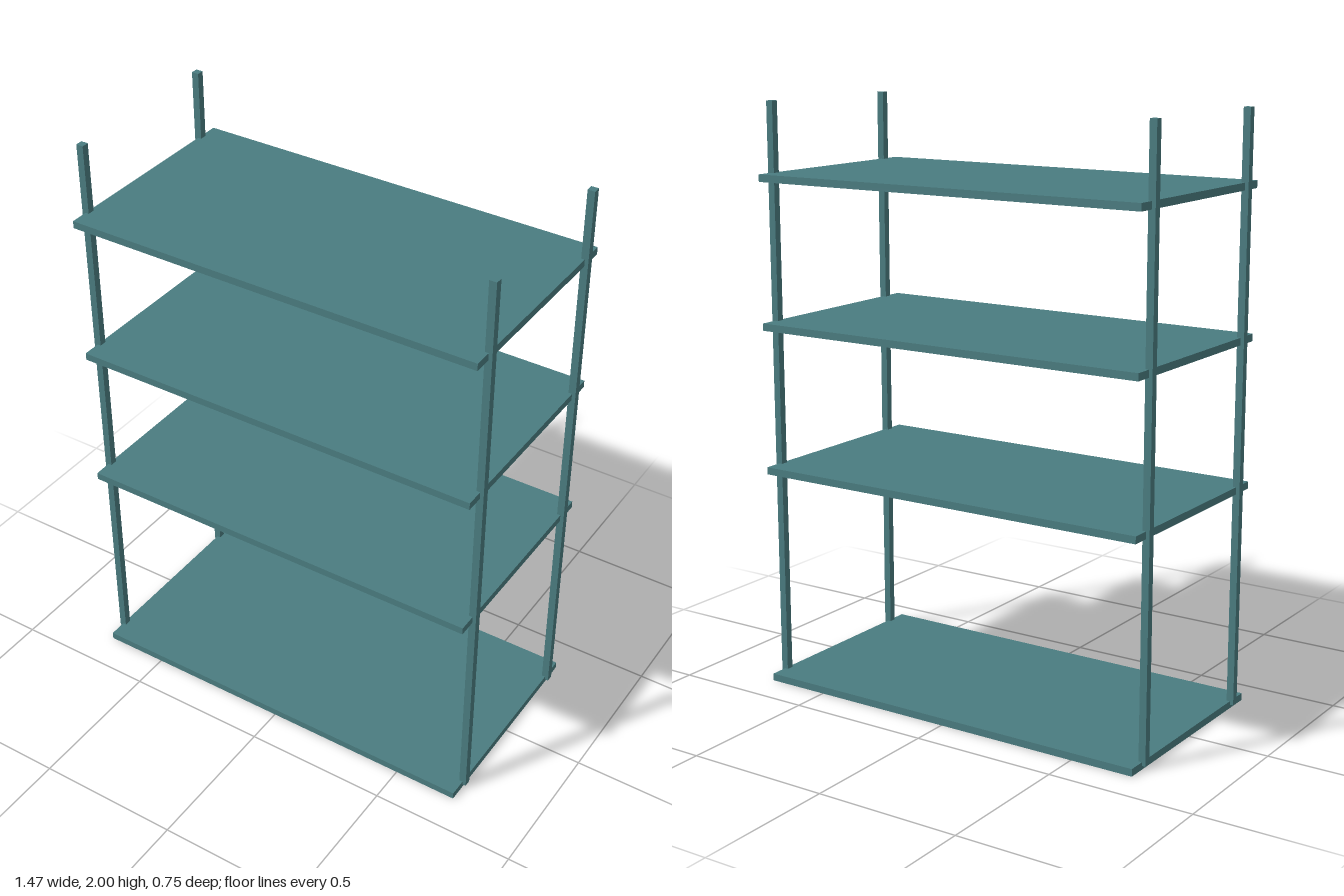
import * as THREE from 'three';

const U = 2 / 161; // one design unit; overall height is 161 units

export function createModel() {
  const group = new THREE.Group();
  const material = new THREE.MeshStandardMaterial({ color: 0x4a7c80 });

  const addBox = (name, size, position) => {
    const mesh = new THREE.Mesh(new THREE.BoxGeometry(...size.map(v => v * U)), material);
    mesh.position.set(...position).multiplyScalar(U);
    mesh.name = name;
    group.add(mesh);
  };

  // Four thin boards, the lowest gap taller than the others
  [1, 61, 101, 141].forEach((y, i) => addBox(`shelf${i + 1}`, [116, 2, 60], [0, y, 0]));

  // Square posts half sunk into the board ends, starting mid-way through the bottom board
  for (const [side, x] of [['Left', 58], ['Right', -58]]) {
    for (const [end, z] of [['front', 24], ['back', -24]]) {
      addBox(`${end}${side}Post`, [2, 160, 2], [x, 81, z]);
    }
  }
  return group;
}
